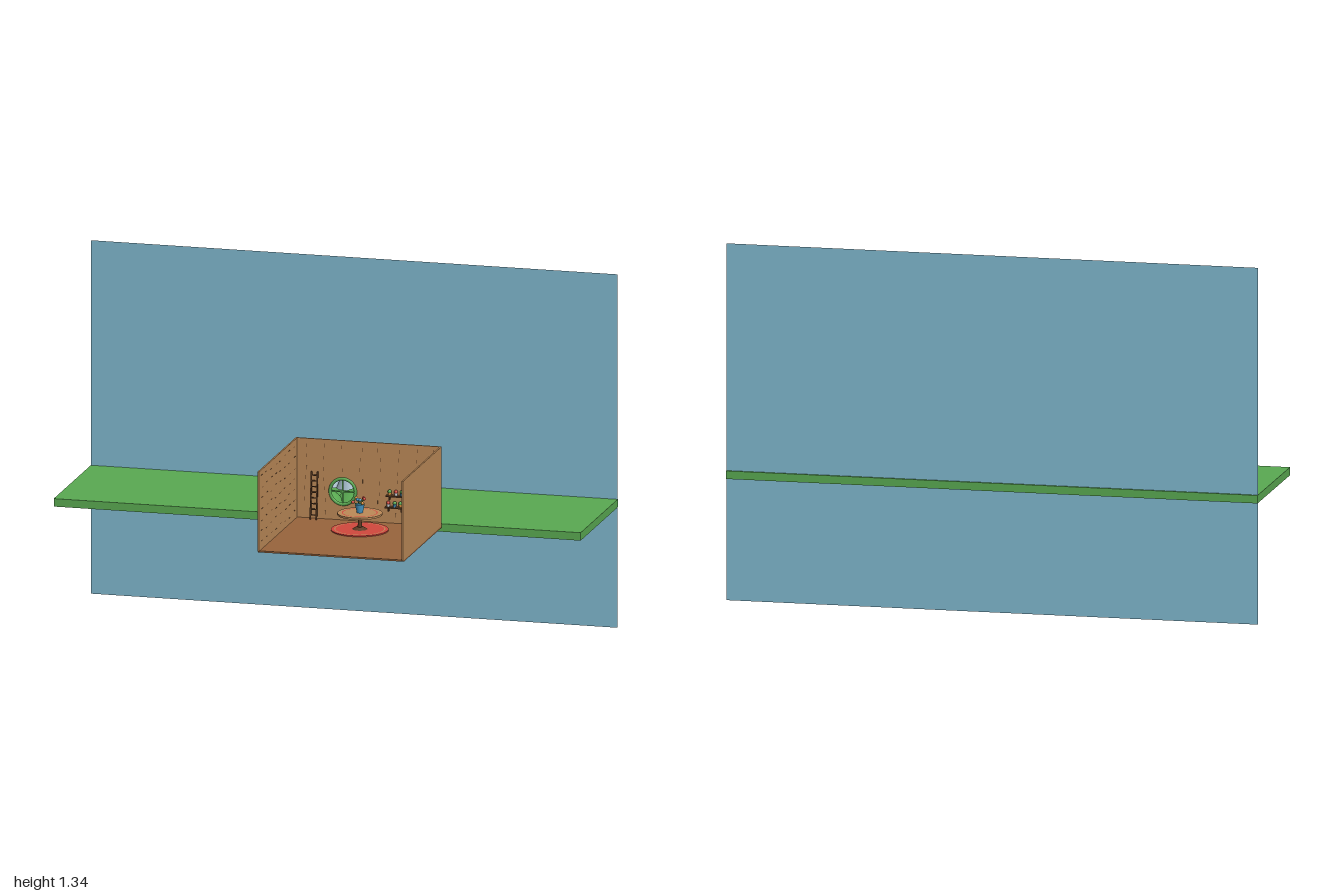
import * as THREE from 'three';

const mat = (name, color, side = THREE.FrontSide) => {
  const m = new THREE.MeshStandardMaterial({ color, side });
  m.name = name;
  return m;
};

export function createModel() {
  const root = new THREE.Group();
  root.name = 'roomDiorama';
  const sky = mat('skyBlue', 0x7fb8ce, THREE.DoubleSide);
  const green = mat('grassGreen', 0x5aaa52);
  const wood = mat('wallWood', 0xbd8a58);
  const floorWood = mat('floorWood', 0x98653d);
  const dark = mat('darkWood', 0x5b3a22);
  const red = mat('rugRed', 0xd2483e);
  const rock = mat('mountainBlue', 0xa3bac9);
  const white = mat('cloudWhite', 0xdde6ec);
  const blue = mat('potBlue', 0x4a9fd0);
  const orange = mat('flowerOrange', 0xe39a45);

  const group = (name, parent = root) => {
    const g = new THREE.Group();
    g.name = name;
    parent.add(g);
    return g;
  };
  const add = (name, geo, material, x, y, z, parent = root) => {
    const m = new THREE.Mesh(geo, material);
    m.name = name;
    m.position.set(x, y, z);
    parent.add(m);
    return m;
  };
  const box = (name, m, w, h, d, x, y, z, p) => add(name, new THREE.BoxGeometry(w, h, d), m, x, y, z, p);
  const ball = (name, m, r, x, y, z, p) => add(name, new THREE.SphereGeometry(r, 32, 20), m, x, y, z, p);
  const cyl = (name, m, rt, rb, h, x, y, z, p) => add(name, new THREE.CylinderGeometry(rt, rb, h, 32), m, x, y, z, p);

  // Backdrop and ground slab
  add('skyBackdrop', new THREE.PlaneGeometry(2, 1.335), sky, 0, 0.6675, -0.532);
  box('ground', green, 2, 0.03, 0.532, 0, 0.47, -0.274);

  // Rounded hills
  const hills = group('hills');
  [[-0.145, 0.452, -0.285, 0.116], [0.1, 0.422, -0.232, 0.117],
    [-0.032, 0.455, -0.166, 0.097], [0.193, 0.435, -0.182, 0.076]]
    .forEach(([x, y, z, r]) => ball('hill', green, r, x, y, z, hills));

  // Trees on the front hill
  const trees = group('trees');
  [[-0.055, 0.565, -0.165, 0.012], [-0.01, 0.578, -0.152, 0.017]].forEach(([x, y, z, r]) => {
    cyl('trunk', dark, 0.004, 0.005, 0.04, x, y - 0.02, z, trees);
    ball('treeCrown', green, r, x, y, z, trees);
  });

  // Mountains with pale caps
  const mountains = group('mountains');
  [[-0.055, -0.416, 0.095, 0.04], [0.018, -0.398, 0.116, 0.048], [0.085, -0.433, 0.083, 0.037]]
    .forEach(([x, z, h, r]) => {
      cyl('mountain', rock, r * 0.33, r, h * 0.67, x, 0.498 + h * 0.335, z, mountains);
      cyl('snowCap', white, 0, r * 0.34, h * 0.34, x, 0.498 + h * 0.83, z, mountains);
    });

  // Small clouds
  [-0.24, 0.04].forEach((cx) => {
    const cloud = group('cloud');
    [[-0.022, -0.002, 0.018, 0.009], [0, 0.003, 0.024, 0.014], [0.022, -0.001, 0.018, 0.01]]
      .forEach(([x, y, rx, ry]) => ball('cloudPuff', white, 1, cx + x, 0.582 + y, -0.298, cloud).scale.set(rx, ry, 0.008));
  });

  // Room shell: floor, side walls and back wall with a round opening
  const room = group('room');
  const L = -0.079, R = 0.474, B = 0.477, T = 0.778;
  box('floor', floorWood, R - L, 0.006, 0.535, (L + R) / 2, 0.475, 0.2675, room);
  [L + 0.003, R - 0.003].forEach((x) => box('sideWall', wood, 0.006, T - B, 0.547, x, (T + B) / 2, 0.2705, room));
  const wallShape = new THREE.Shape([[L, B], [R, B], [R, T], [L, T]].map(([x, y]) => new THREE.Vector2(x, y)));
  const wx = 0.1, wy = 0.585, wr = 0.046;
  wallShape.holes.push(new THREE.Path().absarc(wx, wy, wr, 0, Math.PI * 2, true));
  add('backWall', new THREE.ExtrudeGeometry(wallShape, { depth: 0.006, bevelEnabled: false, curveSegments: 32 }),
    wood, 0, 0, -0.003, room);

  // Short wood-grain marks on the inner wall faces
  const grain = group('woodGrain', room);
  let seed = 7;
  const rnd = () => (seed = (seed * 16807) % 2147483647) / 2147483647;
  for (let i = 0; i < 8; i++) {
    for (let j = 0; j < 7; j++) {
      const x = L + 0.03 + i * 0.07 + rnd() * 0.015, y = 0.5 + j * 0.041 + rnd() * 0.012;
      if (Math.hypot(x - wx, y - wy) > 0.07) box('grainMark', dark, 0.0015, 0.014, 0.001, x, y, 0.0032, grain);
      const z = 0.035 + i * 0.065 + rnd() * 0.015;
      [L + 0.0062, R - 0.0062].forEach((sx) => box('grainMark', dark, 0.001, 0.0015, 0.02, sx, y, z, grain));
    }
  }

  // Round window frame with cross bars
  const win = group('window', room);
  add('windowFrame', new THREE.TorusGeometry(wr + 0.002, 0.006, 10, 40), green, wx, wy, 0.003, win);
  box('windowBar', green, 0.005, wr * 2, 0.005, wx, wy, 0.003, win);
  box('windowBar', green, wr * 2, 0.005, 0.005, wx, wy, 0.003, win);

  // Ladder against the back wall
  const ladder = group('ladder', room);
  [-0.017, 0.006].forEach((x) => {
    box('ladderRail', dark, 0.005, 0.178, 0.005, x, 0.567, 0.018, ladder).rotation.x = -0.1;
  });
  for (let i = 0; i < 8; i++) {
    box('ladderRung', dark, 0.022, 0.004, 0.004, -0.0055, 0.495 + i * 0.021, 0.025 - i * 0.0021, ladder);
  }

  // Round rug
  const rug = group('rug', room);
  const tx = 0.2, tz = 0.135;
  cyl('rugDisc', red, 0.106, 0.106, 0.004, tx, 0.48, tz, rug);
  const ring = add('rugRing', new THREE.RingGeometry(0.09, 0.094, 48), wood, tx, 0.4825, tz, rug);
  ring.rotation.x = -Math.PI / 2;

  // Pedestal table with a flower pot
  const table = group('table', room);
  cyl('tableFoot', dark, 0.015, 0.028, 0.008, tx, 0.486, tz, table);
  cyl('tablePost', dark, 0.006, 0.008, 0.05, tx, 0.512, tz, table);
  cyl('tableTop', wood, 0.083, 0.083, 0.007, tx, 0.54, tz, table);
  add('tableInlay', new THREE.RingGeometry(0.062, 0.066, 48), red, tx, 0.5438, tz, table).rotation.x = -Math.PI / 2;
  const pot = group('flowerPot', table);
  cyl('pot', blue, 0.018, 0.011, 0.032, tx, 0.56, tz, pot);
  for (let i = 0; i < 7; i++) {
    const a = i * Math.PI * 2 / 7, r = i % 2 ? 0.026 : 0.017;
    const x = tx + Math.cos(a) * r, z = tz + Math.sin(a) * r, y = i % 2 ? 0.585 : 0.597;
    const stem = new THREE.LineCurve3(new THREE.Vector3(tx, 0.57, tz), new THREE.Vector3(x, y, z));
    add('stem', new THREE.TubeGeometry(stem, 1, 0.0015, 5), green, 0, 0, 0, pot);
    ball('blossom', [red, orange, blue][i % 3], 0.006, x, y, z, pot);
  }

  // Wall shelves with small pots and balls
  const shelves = group('shelves', room);
  [[0.305, 0.583, 0.075], [0.3, 0.54, 0.07]].forEach(([x, y, w], row) => {
    box('shelfBoard', dark, w, 0.005, 0.022, x, y, 0.014, shelves);
    [-1, 1].forEach((s) => box('shelfBracket', dark, 0.004, 0.014, 0.014, x + s * w * 0.35, y - 0.009, 0.01, shelves));
    [-0.024, 0, 0.022].forEach((dx, i) => {
      cyl('shelfPot', [orange, white, blue][(i + row) % 3], 0.007, 0.005, 0.01, x + dx, y + 0.0075, 0.015, shelves);
      ball('shelfPlant', [green, red, green][(i + row) % 3], 0.007, x + dx, y + 0.017, 0.015, shelves);
    });
  });

  // Small chest on the floor
  const chest = group('chest', room);
  box('chestBody', floorWood, 0.036, 0.02, 0.024, 0.355, 0.488, 0.018, chest);
  box('chestLid', dark, 0.039, 0.007, 0.027, 0.355, 0.5015, 0.018, chest);

  return root;
}
